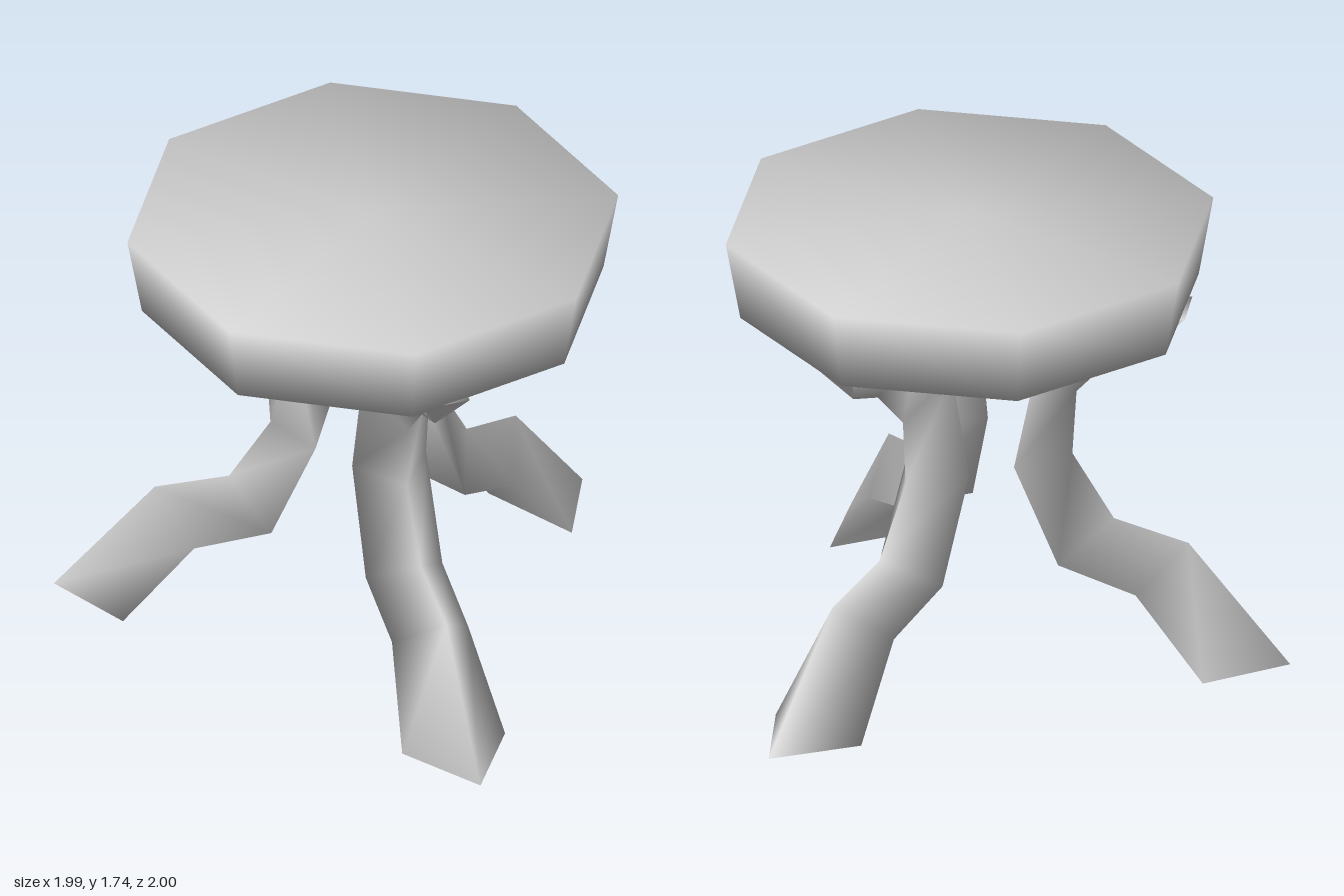
import * as THREE from 'three';
import { mergeVertices } from 'three/addons/utils/BufferGeometryUtils.js';

const CENTRE_X = 0.157;

// Three-cornered leg sections, foot to top:
// [outer ridge radius, ridge y, inner edge radius, inner y, inner half width]
const LEG_SECTIONS = [
  [1.157, 0, 0.87, 0, 0.195],
  [0.79, 0.46, 0.62, 0.31, 0.145],
  [0.52, 0.54, 0.34, 0.41, 0.145],
  [0.37, 0.79, 0.18, 0.79, 0.14],
  [0.385, 1.04, 0.265, 1.22, 0.13],
  [0.53, 1.2, 0.46, 1.37, 0.12],
  [0.67, 1.25, 0.79, 1.405, 0.09],
];

// Faceted octagonal seat with a low crown and a conical underside, smooth normals
function seatGeometry() {
  const profile = [[0, 1.1], [0.837, 1.4], [0.89, 1.7], [0, 1.74]].map(
    ([r, y]) => new THREE.Vector2(r, y));
  const lathe = new THREE.LatheGeometry(profile, 8, THREE.MathUtils.degToRad(20.3));
  lathe.deleteAttribute('normal');
  lathe.deleteAttribute('uv');
  const geometry = mergeVertices(lathe, 1e-4);
  geometry.computeVertexNormals();
  return geometry;
}

// Triangular tube through the sections, smooth along its sides, with flat ends
function legGeometry() {
  const positions = [];
  const index = [];
  const addSection = ([r, y, ri, yi, w]) =>
    positions.push(r, y, 0, ri, yi, w, ri, yi, -w);
  LEG_SECTIONS.forEach(addSection);
  const n = LEG_SECTIONS.length;
  for (let i = 0; i < n - 1; i++) {
    for (let k = 0; k < 3; k++) {
      const p = i * 3 + k;
      const q = i * 3 + (k + 1) % 3;
      index.push(p, p + 3, q, q, p + 3, q + 3);
    }
  }
  // end caps on their own corners
  addSection(LEG_SECTIONS[0]);
  addSection(LEG_SECTIONS[n - 1]);
  const c = n * 3;
  index.push(c, c + 1, c + 2, c + 3, c + 5, c + 4);

  const geometry = new THREE.BufferGeometry();
  geometry.setAttribute('position', new THREE.Float32BufferAttribute(positions, 3));
  geometry.setIndex(index);
  geometry.computeVertexNormals();
  return geometry;
}

export function createModel() {
  const grey = new THREE.MeshStandardMaterial({ color: 0xcccccc });
  grey.name = 'light grey';

  const stool = new THREE.Group();
  stool.name = 'stool';

  const seat = new THREE.Mesh(seatGeometry(), grey);
  seat.name = 'seat';
  seat.position.set(CENTRE_X, 0, -0.01);
  stool.add(seat);

  // three crooked legs, evenly spread
  const shape = legGeometry();
  [['rightLeg', 180], ['frontLeftLeg', -60], ['backLeftLeg', 60]].forEach(([name, angle]) => {
    const leg = new THREE.Mesh(shape, grey);
    leg.name = name;
    leg.position.x = CENTRE_X;
    leg.rotation.y = THREE.MathUtils.degToRad(angle);
    stool.add(leg);
  });

  return stool;
}
